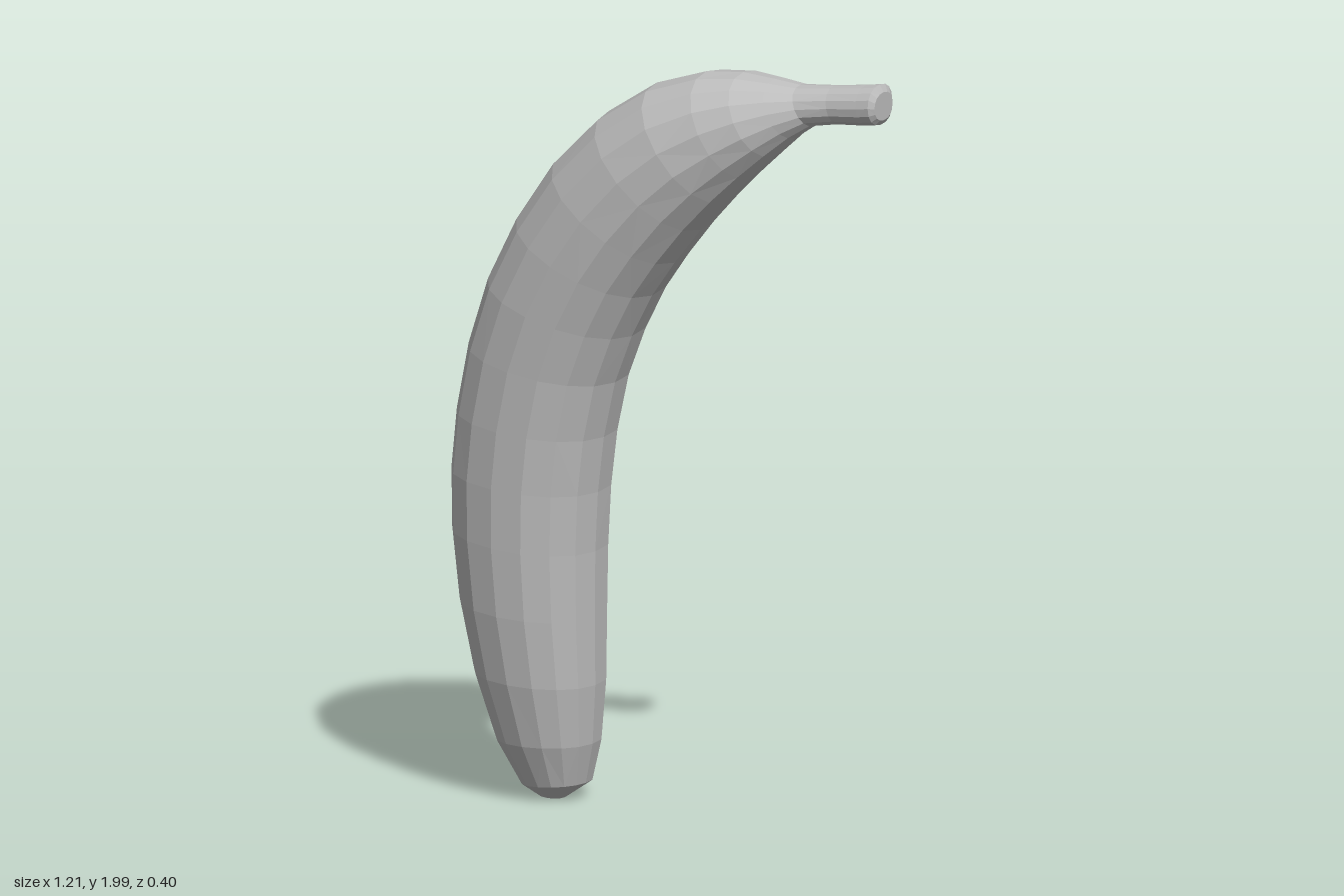
import * as THREE from 'three';

const SIDES = 16;

// Each row is one cross-section: outer edge x, y, inner edge x, y, back z, front z
const FRUIT = [
  [-0.385, 0.008, -0.315, 0.004, -0.075, -0.005],
  [-0.43, 0.04, -0.25, 0.05, -0.135, 0.05],
  [-0.495, 0.16, -0.222, 0.16, -0.16, 0.1],
  [-0.55, 0.34, -0.207, 0.32, -0.18, 0.142],
  [-0.587, 0.53, -0.204, 0.5, -0.192, 0.168],
  [-0.605, 0.72, -0.2, 0.68, -0.198, 0.183],
  [-0.604, 0.88, -0.19, 0.84, -0.2, 0.192],
  [-0.585, 1.04, -0.17, 0.99, -0.2, 0.198],
  [-0.547, 1.22, -0.135, 1.14, -0.2, 0.202],
  [-0.487, 1.4, -0.083, 1.27, -0.2, 0.204],
  [-0.4, 1.57, -0.022, 1.385, -0.2, 0.202],
  [-0.29, 1.73, 0.045, 1.48, -0.2, 0.195],
  [-0.16, 1.86, 0.12, 1.575, -0.2, 0.18],
  [-0.02, 1.95, 0.19, 1.655, -0.198, 0.155],
  [0.12, 1.993, 0.255, 1.725, -0.196, 0.115],
  [0.22, 1.998, 0.315, 1.785, -0.19, 0.07],
  [0.3, 1.985, 0.365, 1.835, -0.18, 0.01],
  [0.365, 1.972, 0.41, 1.868, -0.175, -0.04],
];
const STEM = [
  FRUIT[FRUIT.length - 1],
  [0.46, 1.978, 0.48, 1.878, -0.18, -0.063],
  [0.55, 1.988, 0.56, 1.882, -0.193, -0.07],
  [0.59, 1.994, 0.592, 1.886, -0.197, -0.073],
  [0.603, 1.975, 0.603, 1.9, -0.178, -0.088],
];

const squash = (v, n) => Math.sign(v) * Math.pow(Math.abs(v), 2 / n);

// Skins the cross-sections in order, closing the chosen ends
function loft(rows, capStart, capEnd) {
  const points = [], faces = [];
  rows.forEach(([ox, oy, ix, iy, back, front]) => {
    for (let j = 0; j < SIDES; j++) {
      const t = (j / SIDES) * Math.PI * 2;
      const n = Math.sin(t) < 0 ? 2.4 : 2.1; // the back is a little flatter
      const a = squash(Math.cos(t), n), b = squash(Math.sin(t), n);
      points.push(
        (ox + ix) / 2 + a * (ox - ix) / 2,
        (oy + iy) / 2 + a * (oy - iy) / 2,
        (back + front) / 2 + b * (front - back) / 2);
    }
  });
  for (let i = 0; i < rows.length - 1; i++) {
    for (let j = 0; j < SIDES; j++) {
      const k = (j + 1) % SIDES;
      const p = i * SIDES + j, q = i * SIDES + k;
      const r = p + SIDES, s = q + SIDES;
      // Alternate the diagonal for an uneven, hand-cut skin
      if ((i + j) % 2) faces.push(p, q, s, p, s, r);
      else faces.push(p, q, r, q, s, r);
    }
  }
  const last = (rows.length - 1) * SIDES;
  for (let j = 1; j < SIDES - 1; j++) {
    if (capStart) faces.push(0, j + 1, j);
    if (capEnd) faces.push(last, last + j, last + j + 1);
  }
  const indexed = new THREE.BufferGeometry();
  indexed.setAttribute('position', new THREE.Float32BufferAttribute(points, 3));
  indexed.setIndex(faces);
  const geometry = indexed.toNonIndexed();
  geometry.computeVertexNormals();
  return geometry;
}

export function createModel() {
  const group = new THREE.Group();
  group.name = 'banana';
  const grey = new THREE.MeshStandardMaterial({ color: 0xbcbcbc, flatShading: true });
  grey.name = 'plain grey';

  // Curved fruit with its blunt lower tip
  const fruit = new THREE.Mesh(loft(FRUIT, true, false), grey);
  fruit.name = 'fruit';

  // Slim stem with a cut end
  const stem = new THREE.Mesh(loft(STEM, false, true), grey);
  stem.name = 'stem';

  group.add(fruit, stem);
  return group;
}
